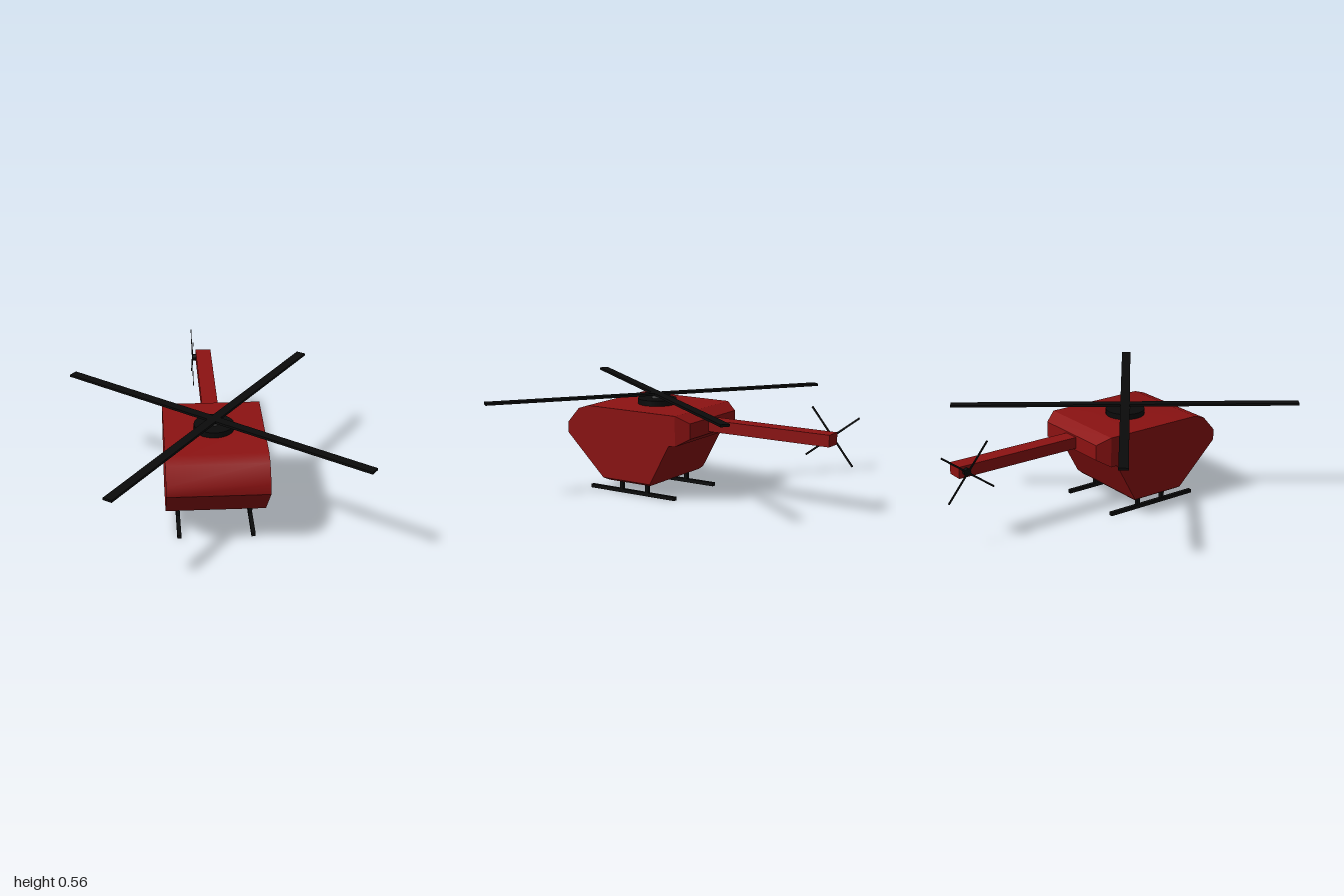
import * as THREE from 'three';
import { toCreasedNormals } from 'three/addons/utils/BufferGeometryUtils.js';

const red = new THREE.MeshStandardMaterial({ color: 0x8c1212 });
const black = new THREE.MeshStandardMaterial({ color: 0x0b0b0b });
const grey = new THREE.MeshStandardMaterial({ color: 0x484848 });

export function createModel() {
  const model = new THREE.Group();

  const add = (name, geometry, material, x = 0, y = 0, z = 0, parent = model) => {
    const mesh = new THREE.Mesh(geometry, material);
    mesh.name = name;
    mesh.position.set(x, y, z);
    parent.add(mesh);
    return mesh;
  };
  const box = (w, h, d) => new THREE.BoxGeometry(w, h, d);

  // Moves the corners of a box so that one end is tapered
  const taperedBox = (corner) => {
    const g = box(2, 2, 2).toNonIndexed();
    const p = g.attributes.position;
    for (let i = 0; i < p.count; i++) p.setXYZ(i, ...corner(p.getX(i), p.getY(i), p.getZ(i)));
    g.computeVertexNormals();
    return g;
  };

  // Cabin: side profile (z, y) extruded across the width
  const halfWidth = 0.27;
  const profile = [
    [0.64, 0.32], [0.64, 0.38], [0.565, 0.465], [0.5, 0.487], [-0.08, 0.487],
    [-0.08, 0.32], [-0.04, 0.32], [0.085, 0.09], [0.4, 0.09],
  ];
  const shape = new THREE.Shape(profile.map(([z, y]) => new THREE.Vector2(-z, y)));
  const cabin = new THREE.ExtrudeGeometry(shape, { depth: halfWidth * 2, bevelEnabled: false });
  cabin.translate(0, 0, -halfWidth).rotateY(Math.PI / 2);
  add('cabin', toCreasedNormals(cabin, 0.74), red);

  // Chamfered rear of the cabin
  add('cabinRear', taperedBox((x, y, z) => z > 0
    ? [x * halfWidth, y > 0 ? 0.487 : 0.32, -0.08]
    : [x * 0.23, y > 0 ? 0.447 : 0.362, -0.15]), red);

  // Chamfered belly
  add('belly', taperedBox((x, y, z) => y > 0
    ? [x * halfWidth, 0.09, z > 0 ? 0.4 : 0.085]
    : [x * 0.245, 0.075, z > 0 ? 0.375 : 0.1]), red);

  // Tail boom
  add('tailBoom', box(0.09, 0.064, 0.755), red, 0, 0.406, -0.5075);

  // Main rotor
  const rotor = new THREE.Group();
  rotor.name = 'mainRotor';
  rotor.position.z = 0.218;
  model.add(rotor);
  add('rotorBase', new THREE.CylinderGeometry(0.108, 0.108, 0.032, 32), black, 0, 0.501, 0, rotor);
  add('rotorMast', new THREE.CylinderGeometry(0.03, 0.03, 0.03, 24), grey, 0, 0.527, 0, rotor);
  for (const degrees of [54.8, -37.9]) {
    const blades = add('rotorBladePair', box(1.94, 0.013, 0.052), black, 0, 0.541, 0, rotor);
    blades.rotation.y = THREE.MathUtils.degToRad(degrees);
  }

  // Tail rotor on the right side of the boom
  const tailRotor = new THREE.Group();
  tailRotor.name = 'tailRotor';
  tailRotor.position.set(-0.055, 0.407, -0.845);
  model.add(tailRotor);
  const hub = new THREE.CylinderGeometry(0.02, 0.02, 0.022, 16).rotateZ(Math.PI / 2);
  add('tailRotorHub', hub, black, 0, 0, 0, tailRotor);
  for (const degrees of [36.5, 129.3]) {
    const blades = add('tailBladePair', box(0.004, 0.01, 0.382), black, -0.012, 0, 0, tailRotor);
    blades.rotation.x = THREE.MathUtils.degToRad(degrees);
  }

  // Landing skids with two struts each
  for (const [side, x] of [['left', 0.192], ['right', -0.202]]) {
    add(side + 'Skid', box(0.022, 0.02, 0.565), black, x, 0.01, 0.2525);
    for (const z of [0.325, 0.155]) add(side + 'Strut', box(0.02, 0.075, 0.02), black, x, 0.0475, z);
  }

  return model;
}
